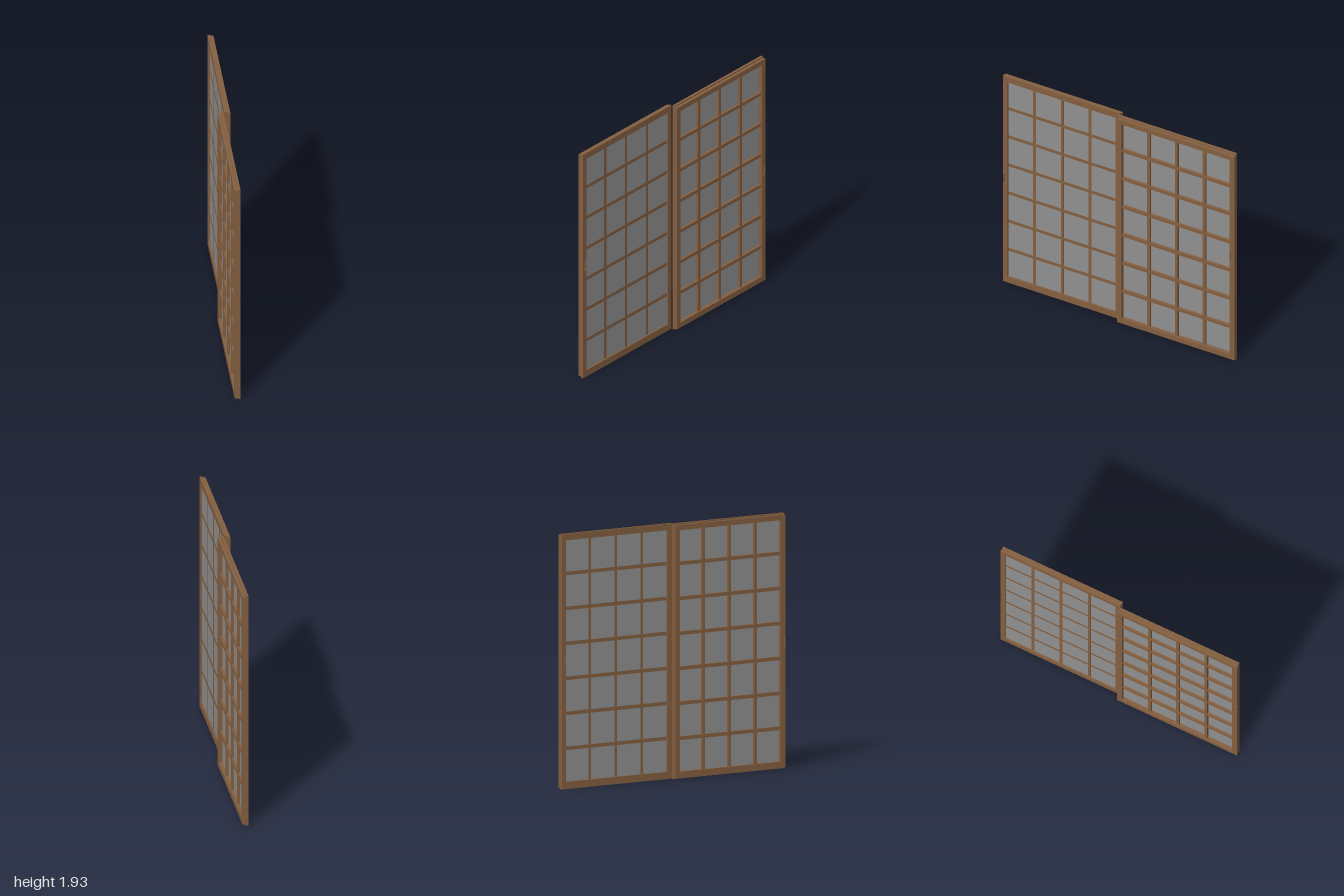
import * as THREE from 'three';

const wood = new THREE.MeshStandardMaterial({ color: 0x845f40 });
wood.name = 'brown wood';
const paper = new THREE.MeshStandardMaterial({ color: 0x909090 });
paper.name = 'grey paper';

// Panel space: x runs along the panel (0..1), y is up, z is depth from the inner face
const INNER = 0.003, OUTER = 0.048;
const OPEN = { x0: 0.04, x1: 0.96, y0: 0.055, y1: 1.885 };
const BAR_IN = 0.015, BAR_OUT = 0.039;

function box(name, x0, x1, y0, y1, z0, z1, material = wood) {
  const mesh = new THREE.Mesh(new THREE.BoxGeometry(x1 - x0, y1 - y0, z1 - z0), material);
  mesh.position.set((x0 + x1) / 2, (y0 + y1) / 2, (z0 + z1) / 2);
  mesh.name = name;
  return mesh;
}

function rectangle(Type, x0, x1, y0, y1) {
  return new Type([[x0, y0], [x1, y0], [x1, y1], [x0, y1]].map(p => new THREE.Vector2(...p)));
}

function createPanel(name) {
  const panel = new THREE.Group();
  panel.name = name;

  // Outer frame with the lattice opening and a slot for the finger pulls
  const pull = [0.968, 0.993, 0.93, 1.01];
  const shape = rectangle(THREE.Shape, 0, 1, 0.01, 1.925);
  shape.holes.push(rectangle(THREE.Path, OPEN.x0, OPEN.x1, OPEN.y0, OPEN.y1));
  shape.holes.push(rectangle(THREE.Path, ...pull));
  const frame = new THREE.Mesh(
    new THREE.ExtrudeGeometry(shape, { depth: OUTER - INNER, bevelEnabled: false }), wood);
  frame.position.z = INNER;
  frame.name = 'frame';
  panel.add(frame);

  // Floor between the finger pulls on the two faces
  panel.add(box('fingerPullFloor', ...pull, INNER + 0.01, OUTER - 0.01));

  // Sliding tongues above and below the frame
  panel.add(box('topTongue', 0, 1, 1.925, 1.935, INNER, 0.024));
  panel.add(box('bottomTongue', 0, 1, 0, 0.01, INNER, 0.024));

  // Lattice bars
  for (let i = 0; i < 3; i++) {
    const x = 0.264 + i * 0.236;
    panel.add(box('verticalBar', x - 0.012, x + 0.012, OPEN.y0, OPEN.y1, BAR_IN, BAR_OUT - 0.001));
  }
  for (let i = 0; i < 6; i++) {
    const y = 0.307 + i * 0.265;
    panel.add(box('horizontalBar', OPEN.x0, OPEN.x1, y - 0.0135, y + 0.0135, BAR_IN - 0.0002, BAR_OUT));
  }

  // Paper sheet, almost flush with the inner side of the lattice
  panel.add(box('paperSheet', OPEN.x0, OPEN.x1, OPEN.y0, OPEN.y1, BAR_IN + 0.001, BAR_IN + 0.004, paper));
  return panel;
}

export function createModel() {
  const model = new THREE.Group();
  model.name = 'slidingLatticeDoors';
  const front = createPanel('frontPanel');
  front.rotation.y = -Math.PI / 2;
  const back = createPanel('backPanel');
  back.rotation.y = Math.PI / 2;
  model.add(front, back);
  return model;
}
